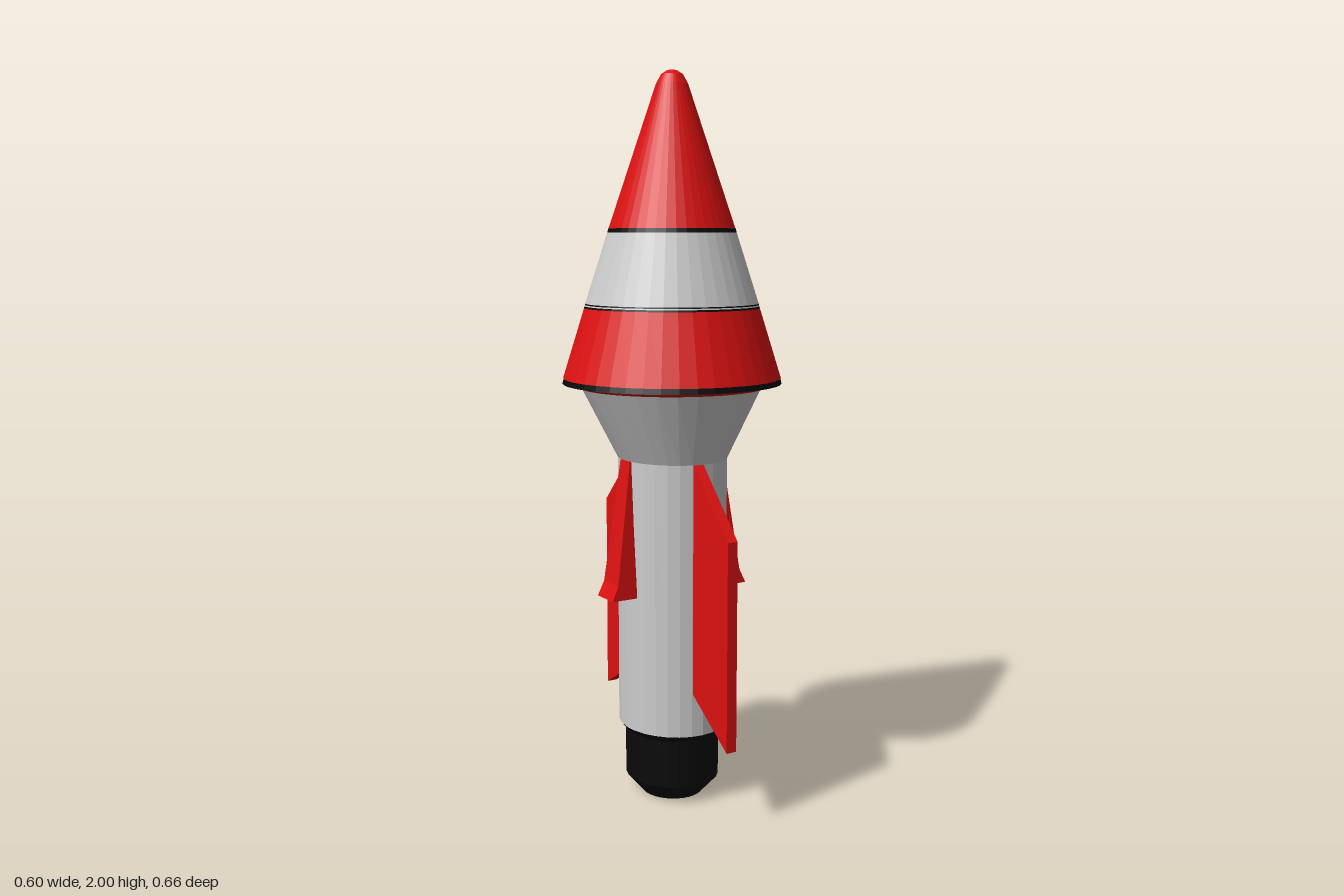
import * as THREE from 'three';

const mat = (color) => new THREE.MeshStandardMaterial({ color, flatShading: true });
const RED = mat(0xdd1111), BLACK = mat(0x0a0a0a), GREY = mat(0xcccccc);

export function createModel() {
  const model = new THREE.Group();
  const add = (name, geometry, material) => {
    const mesh = new THREE.Mesh(geometry, material);
    mesh.name = name;
    model.add(mesh);
  };
  // Turned part from [radius, y] points listed bottom to top
  const turned = (name, points, material, segments = 40) =>
    add(name, new THREE.LatheGeometry(points.map(([r, y]) => new THREE.Vector2(r, y)), segments), material);

  // Oval shell from [xRadius, zRadius, y] rings listed bottom to top
  const oval = (name, rings, material) => {
    const n = 28, pos = [], index = [];
    rings.forEach(([rx, rz, y], k) => {
      for (let i = 0; i <= n; i++) {
        const a = (i / n) * Math.PI * 2;
        pos.push(rx * Math.sin(a), y, rz * Math.cos(a));
        if (k && i < n) {
          const c = k * (n + 1) + i, b = c - n - 1;
          index.push(b, b + 1, c, b + 1, c + 1, c);
        }
      }
    });
    const geometry = new THREE.BufferGeometry();
    geometry.setAttribute('position', new THREE.Float32BufferAttribute(pos, 3));
    geometry.setIndex(index);
    geometry.computeVertexNormals();
    add(name, geometry, material);
  };

  // Nozzle, body tube and flared collar
  oval('nozzle', [[0, 0, 0], [0.085, 0.09, 0], [0.128, 0.138, 0.05], [0.13, 0.14, 0.185], [0.145, 0.162, 0.205]], BLACK);
  oval('body', [[0.13, 0.14, 0.2], [0.146, 0.166, 0.207], [0.146, 0.166, 0.96]], GREY);
  oval('collar', [[0.146, 0.166, 0.96], [0.255, 0.237, 1.16]], GREY);

  // Striped nose cone
  turned('coneUnderside', [[0.2, 1.152], [0.255, 1.154], [0.297, 1.168]], RED);
  turned('lowerBand', [[0.298, 1.18], [0.239, 1.37]], RED);
  turned('middleBand', [[0.238, 1.375], [0.175, 1.572]], GREY);
  turned('noseTip', [[0.174, 1.575], [0.043, 1.963], [0.029, 1.988], [0.013, 1.998], [0, 2]], RED);
  for (const [r, y] of [[0.3, 1.173], [0.24, 1.374], [0.176, 1.575]]) {
    turned('stripeLine', [[r - 0.01, y - 0.008], [r, y - 0.008], [r - 0.004, y + 0.008], [r - 0.014, y + 0.008]], BLACK);
  }

  // Large front and back fins
  for (const [name, side, drop] of [['frontFin', 1, 0], ['backFin', -1, 0.008]]) {
    const shape = new THREE.Shape([[0.14, 0.96], [0.165, 0.96], [0.332, 0.782 + drop], [0.332, 0.215 + drop], [0.165, 0.325], [0.14, 0.34]]
      .map(([z, y]) => new THREE.Vector2(z * side, y)));
    const geometry = new THREE.ExtrudeGeometry(shape, { depth: 0.03, bevelEnabled: false });
    add(name, geometry.rotateY(-Math.PI / 2), RED);
  }

  // Small tapered side fins: [y, outer x, front z, back z] from bottom to top
  const levels = [[0.585, 0.215, 0.048, -0.037], [0.625, 0.196, 0.046, -0.036], [0.96, 0.148, 0.026, -0.026]];
  for (const [name, side] of [['leftFin', 1], ['rightFin', -1]]) {
    const geometry = new THREE.BoxGeometry(1, 1, 1, 1, 2, 1);
    const p = geometry.attributes.position;
    for (let i = 0; i < p.count; i++) {
      const [y, outer, front, back] = levels[Math.round((p.getY(i) + 0.5) * 2)];
      p.setXYZ(i, side * (p.getX(i) * side > 0 ? outer : 0.125), y, p.getZ(i) > 0 ? front : back);
    }
    geometry.computeVertexNormals();
    add(name, geometry, RED);
  }
  return model;
}
